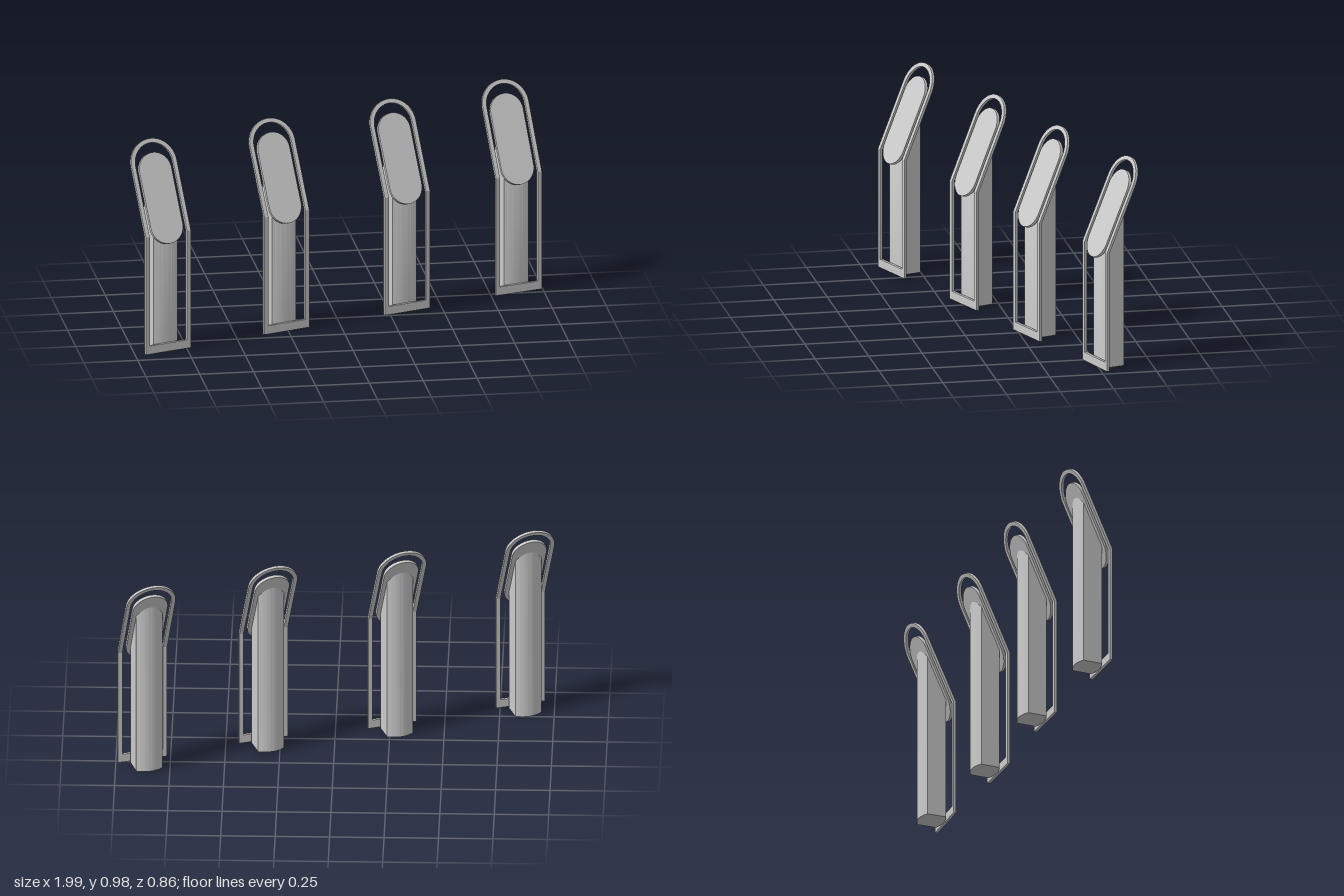
import * as THREE from 'three';
import { toCreasedNormals } from 'three/addons/utils/BufferGeometryUtils.js';

const TILT = 0.42;      // lean of the upper part, radians
const BEND = 0.565;     // height where the frame bends back
const HALF = 0.1175;    // half width of the frame
const BAR = 0.02;       // width of the frame bar
const DEPTH = 0.013;    // thickness of the frame

const material = new THREE.MeshStandardMaterial({ color: 0xcccccc });

// Extrudes a shape backwards from z = 0
function plate(shape, depth) {
  const g = new THREE.ExtrudeGeometry(shape, { depth, bevelEnabled: false, curveSegments: 24 });
  g.translate(0, 0, -depth);
  return toCreasedNormals(g, 0.5);
}

function add(parent, name, geometry) {
  const mesh = new THREE.Mesh(geometry, material);
  mesh.name = name;
  parent.add(mesh);
}

// Upright legs joined by a foot bar
function lowerFrameGeometry() {
  const inner = HALF - BAR;
  const s = new THREE.Shape();
  s.moveTo(-HALF, 0);
  s.lineTo(HALF, 0);
  s.lineTo(HALF, BEND);
  s.lineTo(inner, BEND);
  s.lineTo(inner, 0.04);
  s.lineTo(-inner, 0.04);
  s.lineTo(-inner, BEND);
  s.lineTo(-HALF, BEND);
  s.closePath();
  return plate(s, DEPTH);
}

// Round-topped arch that leans back from the bend
function archGeometry() {
  const inner = HALF - BAR, top = 0.331;
  const s = new THREE.Shape();
  s.moveTo(HALF, 0);
  s.lineTo(HALF, top);
  s.absarc(0, top, HALF, 0, Math.PI, false);
  s.lineTo(-HALF, 0);
  s.lineTo(-inner, 0);
  s.lineTo(-inner, top);
  s.absarc(0, top, inner, Math.PI, 0, true);
  s.lineTo(inner, 0);
  s.closePath();
  return plate(s, DEPTH);
}

// Panel with two round ends
function panelGeometry() {
  const r = 0.083, low = -0.044 + r, high = 0.383 - r;
  const s = new THREE.Shape();
  s.moveTo(r, low);
  s.lineTo(r, high);
  s.absarc(0, high, r, 0, Math.PI, false);
  s.lineTo(-r, low);
  s.absarc(0, low, r, Math.PI, Math.PI * 2, false);
  return plate(s, 0.015);
}

// Post with flat sides and bowed front and back, cut at the slope of the panel
function postGeometry() {
  const w = 0.063;
  const s = new THREE.Shape();
  s.moveTo(-w, 0.028);
  s.quadraticCurveTo(0, 0.004, w, 0.028);
  s.lineTo(w, 0.12);
  s.quadraticCurveTo(0, 0.16, -w, 0.12);
  s.closePath();
  const g = new THREE.ExtrudeGeometry(s, { depth: 1, bevelEnabled: false, curveSegments: 20 });
  g.rotateX(-Math.PI / 2);
  const p = g.attributes.position;
  for (let i = 0; i < p.count; i++) {
    if (p.getY(i) > 0.5) p.setY(i, BEND - 0.02 - p.getZ(i) / Math.tan(TILT));
  }
  return toCreasedNormals(g, 0.5);
}

export function createModel() {
  const model = new THREE.Group();
  model.name = 'infoStands';
  const lower = lowerFrameGeometry(), arch = archGeometry();
  const panel = panelGeometry(), post = postGeometry();

  // x, y, z and turn in degrees of each stand
  const places = [
    [-0.84, 0, 0.385, 20],
    [-0.256, 0, 0.162, 20.5],
    [0.331, 0.008, -0.02, 20],
    [0.881, 0.008, -0.233, 18],
  ];
  places.forEach(([x, y, z, turn], i) => {
    const stand = new THREE.Group();
    stand.name = `stand${i + 1}`;
    stand.position.set(x, y, z);
    stand.rotation.y = THREE.MathUtils.degToRad(turn);

    add(stand, 'lowerFrame', lower);
    add(stand, 'post', post);

    const head = new THREE.Group();
    head.name = 'leaningHead';
    head.position.y = BEND;
    head.rotation.x = -TILT;
    add(head, 'arch', arch);
    add(head, 'panel', panel);
    stand.add(head);
    model.add(stand);
  });
  return model;
}
